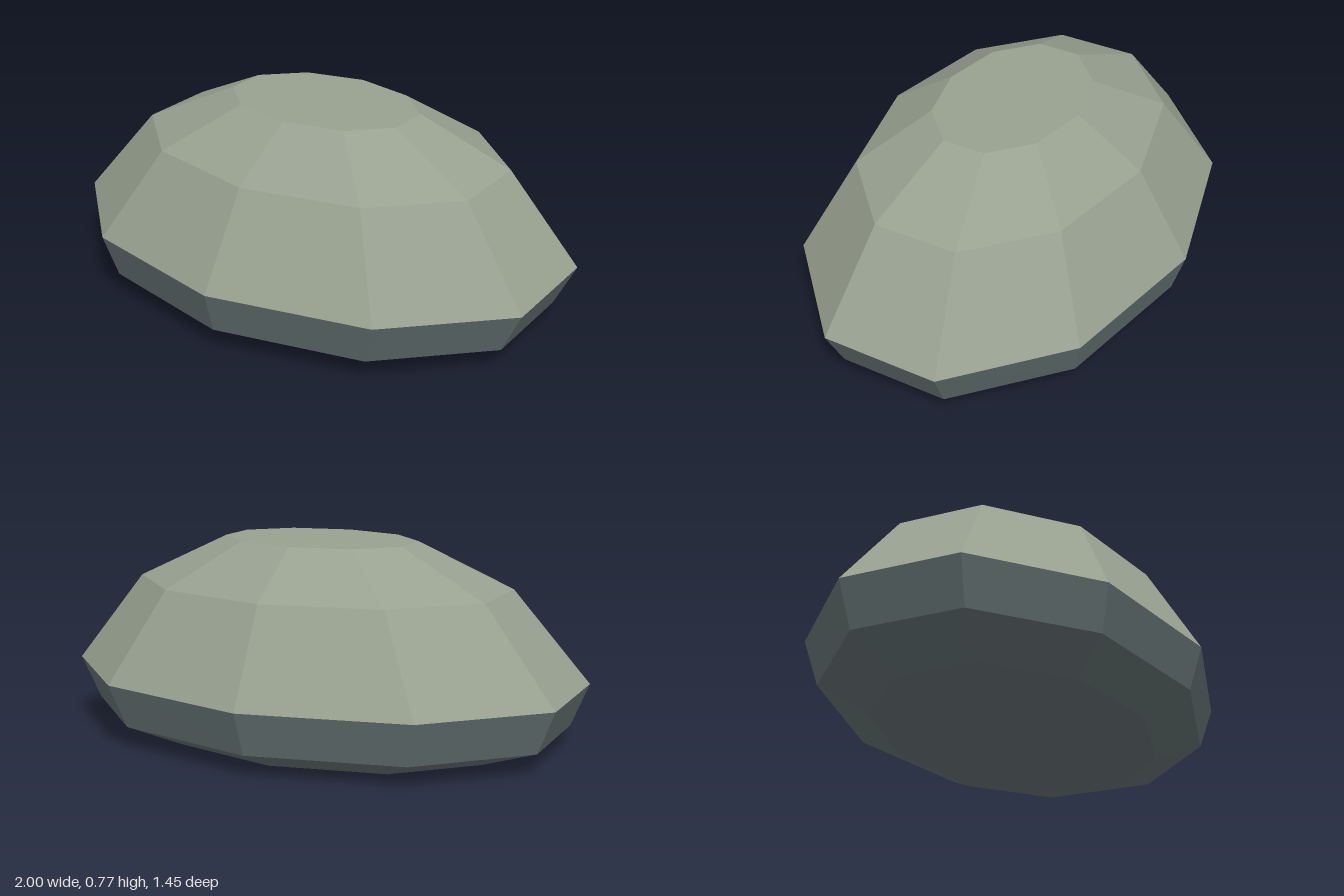
import * as THREE from 'three';

const SIDES = 10;

// Oval ten-sided rings from base to crown: height, radii and sideways drift
const RINGS = [
  { y: 0, rx: 0.731, rz: 0.503, cx: -0.015 },
  { y: 0.085, rx: 0.975, rz: 0.677, cx: -0.007 },
  { y: 0.25, rx: 1.051, rz: 0.727, cx: 0 },
  { y: 0.6, rx: 0.76, rz: 0.525, cx: 0.012 },
  { y: 0.77, rx: 0.392, rz: 0.27, cx: 0.018 },
];

// Corner i of a ring; one corner points straight to the front
function corner(ring, i) {
  const a = Math.PI / 2 + (i / SIDES) * Math.PI * 2;
  return [ring.cx + ring.rx * Math.cos(a), ring.y, ring.rz * Math.sin(a)];
}

// Faceted skin between successive rings, with unshared corners for flat facets
function facetedShell(rings, capBottom, capTop) {
  const points = [];
  const first = rings[0];
  const last = rings[rings.length - 1];
  for (let i = 0; i < SIDES; i++) {
    for (let r = 0; r < rings.length - 1; r++) {
      const a = corner(rings[r], i), b = corner(rings[r], i + 1);
      const c = corner(rings[r + 1], i), d = corner(rings[r + 1], i + 1);
      points.push(...a, ...c, ...d, ...a, ...d, ...b);
    }
    if (capBottom) points.push(first.cx, first.y, 0, ...corner(first, i), ...corner(first, i + 1));
    if (capTop) points.push(last.cx, last.y, 0, ...corner(last, i + 1), ...corner(last, i));
  }
  const geometry = new THREE.BufferGeometry();
  geometry.setAttribute('position', new THREE.Float32BufferAttribute(points, 3));
  geometry.computeVertexNormals();
  return geometry;
}

export function createModel() {
  const sage = new THREE.MeshStandardMaterial({ color: 0x98a190 });
  sage.name = 'sage stone';
  const slate = new THREE.MeshStandardMaterial({ color: 0x647172 });
  slate.name = 'dark slate';

  const group = new THREE.Group();
  group.name = 'boulder';

  // Dark underside up to the widest edge
  const base = new THREE.Mesh(facetedShell(RINGS.slice(0, 3), true, false), slate);
  base.name = 'rockBase';

  // Pale dome with a flat crown
  const dome = new THREE.Mesh(facetedShell(RINGS.slice(2), false, true), sage);
  dome.name = 'rockTop';

  group.add(base, dome);
  return group;
}
